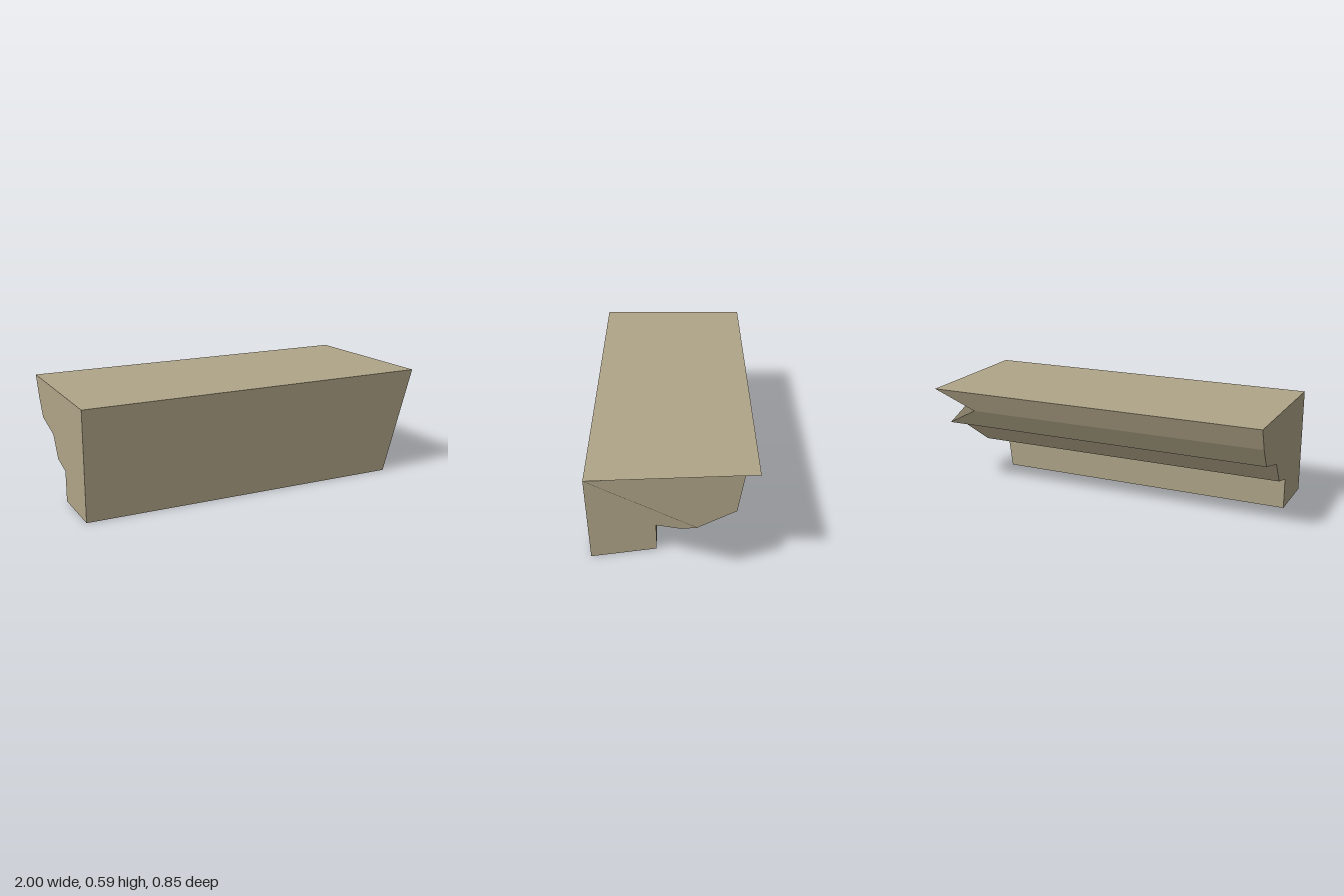
import * as THREE from 'three';

// Moulding section, from front bottom round the stepped back to front top:
// z, y, and the x at which each edge ends on the ragged side
const PROFILE = [
  [0.425, 0, 0.825],
  [0.085, 0, 0.76],
  [0.085, 0.17, 0.782],
  [-0.045, 0.2, 0.852],
  [-0.12, 0.32, 1],
  [-0.318, 0.367, 0.927],
  [-0.38, 0.475, 0.715],
  [-0.425, 0.592, 0.947],
  [0.425, 0.592, 1],
];
const START = -1;

function makeGeometry(triangles, normal) {
  const g = new THREE.BufferGeometry();
  g.setAttribute('position', new THREE.Float32BufferAttribute(triangles.flat(2), 3));
  g.computeVertexNormals();
  // broken end is shaded as one even face
  if (normal) {
    const n = g.attributes.normal;
    for (let i = 0; i < n.count; i++) n.setXYZ(i, ...normal);
  }
  return g;
}

export function createModel() {
  const stone = new THREE.MeshStandardMaterial({ color: 0xb0a588 });
  stone.name = 'sandstone';

  const straight = PROFILE.map(([z, y]) => [START, y, z]);
  const ragged = PROFILE.map(([z, y, x]) => [x, y, z]);
  const count = PROFILE.length;
  const last = count - 1;

  const sides = [], cutEnd = [], brokenEnd = [];
  for (let i = 0; i < count; i++) {
    const j = (i + 1) % count;
    // long faces between the two ends
    sides.push([straight[i], straight[j], ragged[j]], [straight[i], ragged[j], ragged[i]]);
    // both ends fan out from the top front corner
    if (j < last && i < last) {
      brokenEnd.push([ragged[last], ragged[i], ragged[j]]);
      cutEnd.push([straight[last], straight[j], straight[i]]);
    }
  }

  const group = new THREE.Group();
  group.name = 'corniceBlock';
  const add = (name, geometry) => {
    const mesh = new THREE.Mesh(geometry, stone);
    mesh.name = name;
    group.add(mesh);
  };
  add('mouldedFaces', makeGeometry(sides));
  add('cutEnd', makeGeometry(cutEnd));
  add('brokenEnd', makeGeometry(brokenEnd, [1, 0, 0]));
  return group;
}
